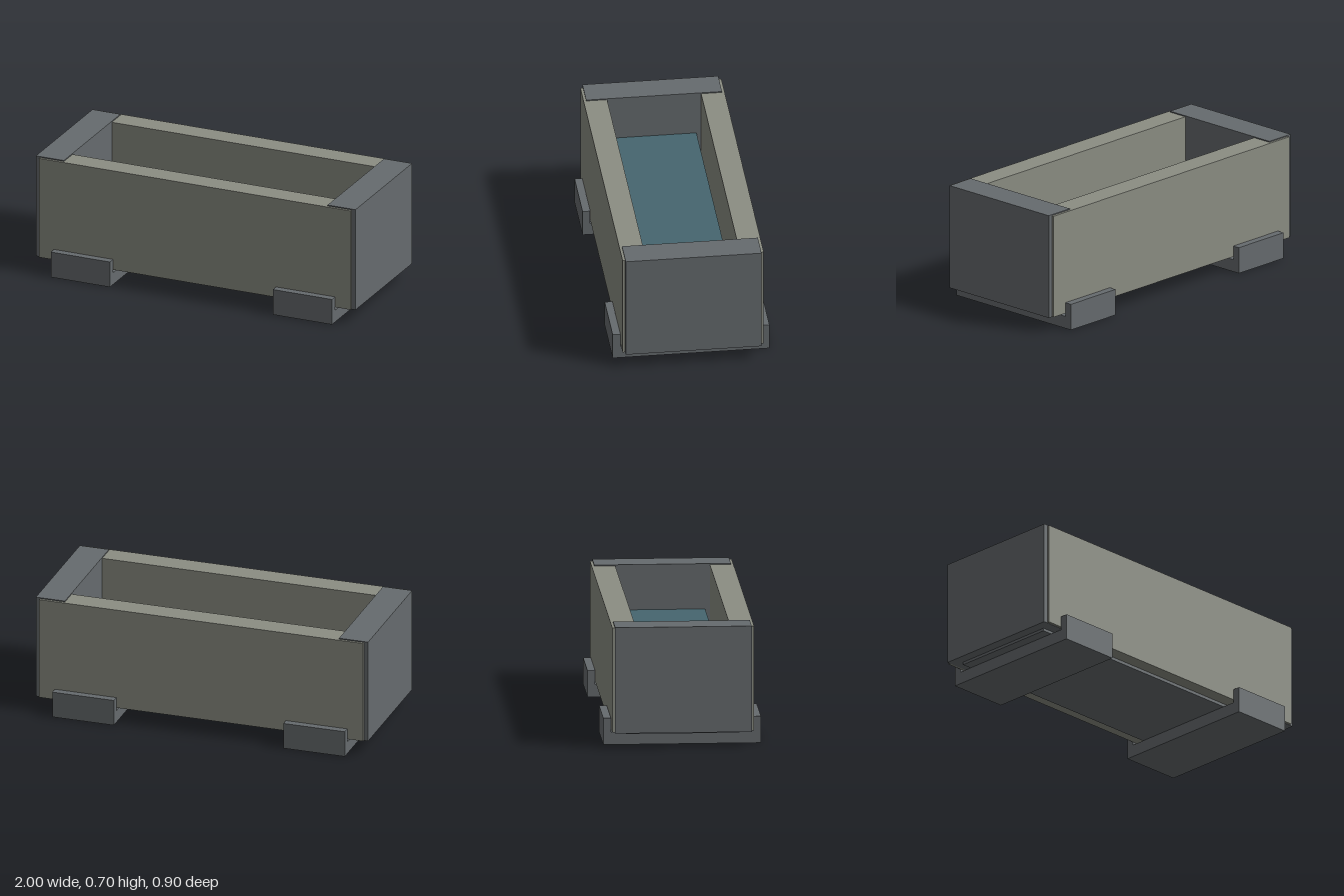
import * as THREE from 'three';

export function createModel() {
  const model = new THREE.Group();
  model.name = 'trough';

  const stone = new THREE.MeshStandardMaterial({ color: 0x8b8d83 });
  stone.name = 'warm grey panel';
  const slate = new THREE.MeshStandardMaterial({ color: 0x666b6e });
  slate.name = 'dark slate';
  const teal = new THREE.MeshStandardMaterial({ color: 0x46666f });
  teal.name = 'teal water';

  // Box given by its minimum and maximum corners
  function box(name, material, min, max, parent = model) {
    const size = max.map((v, i) => v - min[i]);
    const mesh = new THREE.Mesh(new THREE.BoxGeometry(...size), material);
    mesh.position.set(...max.map((v, i) => (v + min[i]) / 2));
    mesh.name = name;
    parent.add(mesh);
  }

  // Floor slab and water surface
  box('floorSlab', slate, [-0.94, 0.072, -0.325], [0.94, 0.13, 0.325]);
  box('water', teal, [-0.83, 0.42, -0.243], [0.83, 0.44, 0.243]);

  for (const s of [-1, 1]) {
    const side = s > 0 ? 'left' : 'right';
    const span = (a, b) => (s > 0 ? [a, b] : [-b, -a]);

    // Long wall, front or back
    const [z0, z1] = span(0.27, 0.405);
    box(s > 0 ? 'frontWall' : 'backWall', stone, [-0.975, 0.09, z0], [0.975, 0.697, z1]);

    // End block, standing just proud of the walls
    const [x0, x1] = span(0.825, 1);
    box(side + 'End', slate, [x0, 0.088, -0.39], [x1, 0.703, 0.39]);

    // Cradle foot with an upturned lip at both ends
    const foot = new THREE.Group();
    foot.name = side + 'Foot';
    const [f0, f1] = span(0.51, 0.88);
    box('footBase', slate, [f0, 0, -0.45], [f1, 0.072, 0.45], foot);
    box('footFrontLip', slate, [f0, 0.072, 0.406], [f1, 0.154, 0.45], foot);
    box('footBackLip', slate, [f0, 0.072, -0.45], [f1, 0.154, -0.406], foot);
    model.add(foot);
  }
  return model;
}
